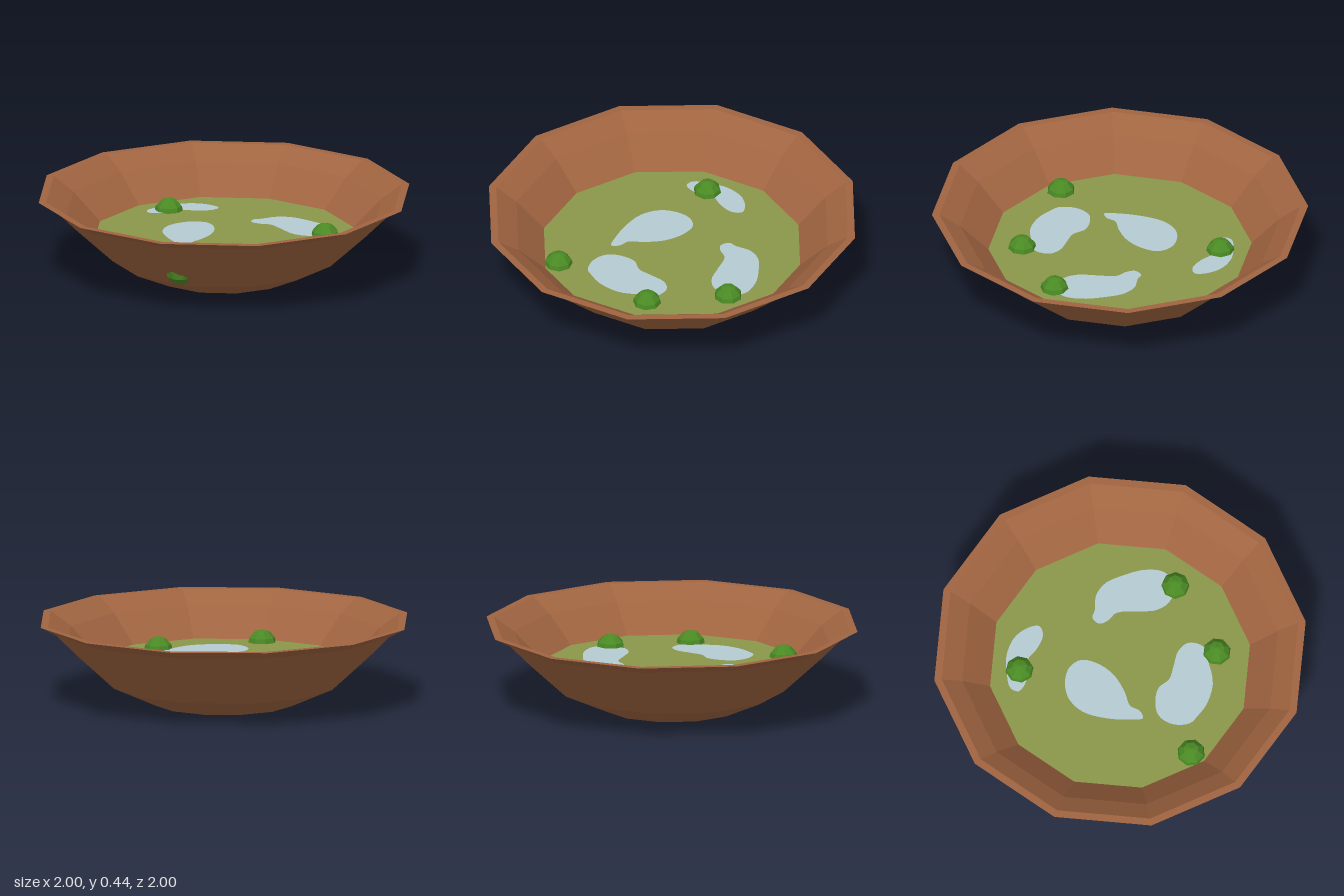
import * as THREE from 'three';

const material = (name, color, flatShading = true) => {
  const m = new THREE.MeshStandardMaterial({ color, flatShading });
  m.name = name;
  return m;
};

export function createModel() {
  const group = new THREE.Group();
  const clay = material('brown clay', 0xa06440);
  const moss = material('moss green', 0x8a964a);
  const water = material('pale water', 0xb5cbd2);
  const leaf = material('leaf green', 0x4a8a24);
  const FLOOR = 0.22;

  const add = (name, geometry, mat) => {
    const mesh = new THREE.Mesh(geometry, mat);
    mesh.name = name;
    group.add(mesh);
    return mesh;
  };

  // Twelve-sided bowl: base, outer wall, rim, then inner wall down to the floor
  const profile = [
    [0, 0], [0.375, 0], [0.6, 0.1], [0.8, 0.285], [0.915, 0.4], [1, 0.445],
    [0.96, 0.445], [0.85, 0.37], [0.7, FLOOR],
  ].map(([r, y]) => new THREE.Vector2(r, y));
  add('bowl', new THREE.LatheGeometry(profile, 12), clay);

  // Mossy floor
  add('mossFloor', new THREE.CircleGeometry(0.7, 12).rotateX(-Math.PI / 2), moss).position.y = FLOOR;

  // Puddles: smooth closed outlines given as x, z
  const puddles = [
    [[-0.315, 0.07], [-0.31, -0.01], [-0.28, -0.13], [-0.225, -0.24], [-0.14, -0.3], [-0.05, -0.305],
      [0.03, -0.27], [0.065, -0.2], [0.03, -0.115], [-0.05, -0.04], [-0.155, 0], [-0.235, 0.015], [-0.27, 0.06]],
    [[-0.385, 0.31], [-0.375, 0.22], [-0.315, 0.155], [-0.235, 0.15], [-0.16, 0.18], [-0.12, 0.245], [-0.05, 0.28],
      [0.03, 0.32], [0.065, 0.38], [0.03, 0.455], [-0.05, 0.465], [-0.18, 0.47], [-0.29, 0.42], [-0.35, 0.36]],
    [[0.25, -0.07], [0.29, -0.1], [0.33, -0.08], [0.41, -0.06], [0.47, 0], [0.5, 0.11], [0.51, 0.22],
      [0.48, 0.32], [0.4, 0.36], [0.31, 0.32], [0.275, 0.24], [0.285, 0.14], [0.295, 0.03], [0.26, -0.02]],
    [[-0.055, -0.555], [-0.03, -0.595], [0.06, -0.6], [0.155, -0.585], [0.245, -0.53], [0.29, -0.45],
      [0.29, -0.385], [0.235, -0.375], [0.165, -0.42], [0.11, -0.48], [0.03, -0.495], [-0.02, -0.515]],
  ];
  for (const outline of puddles) {
    const points = outline.map(([x, z]) => new THREE.Vector3(x, -z, 0));
    const curve = new THREE.CatmullRomCurve3(points, true);
    const shape = new THREE.Shape(curve.getPoints(48).slice(0, -1).map((p) => new THREE.Vector2(p.x, p.y)));
    add('puddle', new THREE.ShapeGeometry(shape).rotateX(-Math.PI / 2), water).position.y = FLOOR + 0.003;
  }

  // Round faceted bushes, half sunk into the floor
  const bush = new THREE.SphereGeometry(0.08, 8, 6).scale(1, 1.1, 1);
  [[0.065, -0.53], [-0.55, 0.29], [0.395, 0.365], [-0.01, 0.52]].forEach(([x, z], i) => {
    const mesh = add('bush', bush, leaf);
    mesh.position.set(x, 0.2, z);
    mesh.rotation.y = i * 0.3;
  });

  return group;
}
